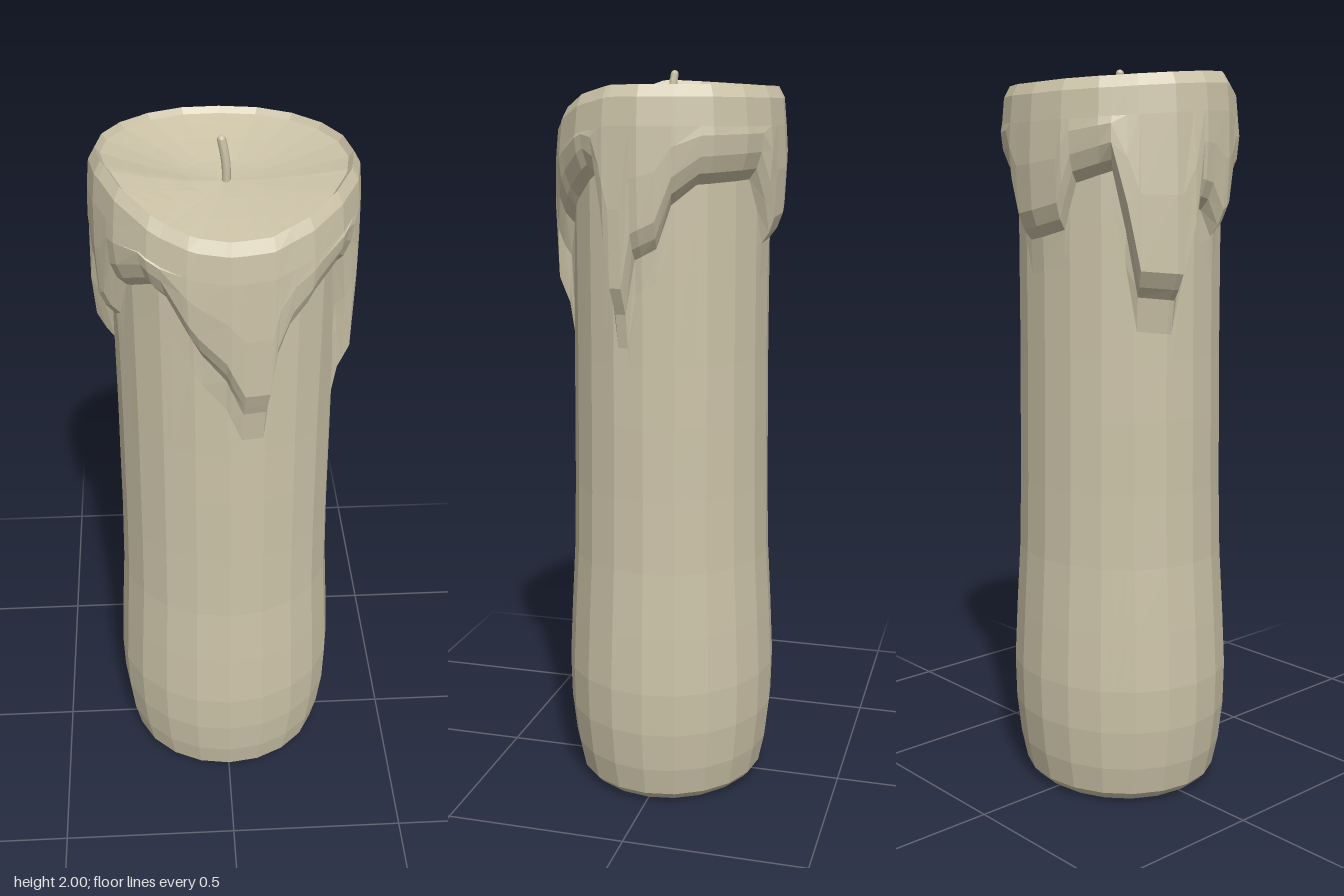
import * as THREE from 'three';

const wax = new THREE.MeshStandardMaterial({ color: 0xccc3a8, flatShading: true });
const wickMaterial = new THREE.MeshStandardMaterial({ color: 0xccc3a8 });

// Lower hem of the melted wax: [angle from the front in degrees, height]
const HEM = [
  [-180, 1.58], [-165, 1.6], [-158, 1.72], [-138, 1.75], [-131, 1.6], [-125, 1.43], [-105, 1.42],
  [-98, 1.55], [-92, 1.66], [-84, 1.65], [-75, 1.58], [-68, 1.6], [-60, 1.7], [-40, 1.74],
  [-30, 1.71], [-20, 1.62], [-14, 1.57], [-2, 1.5], [6, 1.4], [17, 1.4], [20, 1.53], [27, 1.62],
  [40, 1.69], [58, 1.75], [65, 1.73], [70, 1.6], [75, 1.4], [81, 1.4], [86, 1.54], [98, 1.57],
  [106, 1.68], [120, 1.73], [155, 1.74], [162, 1.66], [168, 1.57], [180, 1.58],
];
// Height of the rim around the melted pool
const RIM = [
  [-180, 1.955], [-135, 1.965], [-90, 1.98], [-70, 1.985], [-50, 1.95], [-30, 1.9], [-10, 1.87],
  [15, 1.87], [35, 1.9], [55, 1.935], [75, 1.955], [180, 1.955],
];
// Candle body below the wax: [radius, height]
const BODY = [
  [0, 0.004], [0.25, 0], [0.268, 0.012], [0.285, 0.03], [0.303, 0.11], [0.316, 0.22], [0.319, 0.34],
  [0.311, 0.5], [0.3, 0.68], [0.295, 0.88], [0.293, 1.08], [0.291, 1.24],
];
const SIDES = 20;

function lookup(table, a) {
  const i = Math.max(1, table.findIndex((p) => p[0] >= a));
  const [a0, v0] = table[i - 1], [a1, v1] = table[i];
  return v0 + ((v1 - v0) * (a - a0)) / (a1 - a0);
}

// Point on a slightly oval 20-sided outline
function outline(a, r, y) {
  const step = 360 / SIDES;
  const off = THREE.MathUtils.euclideanModulo(a, step) - step / 2;
  const half = THREE.MathUtils.degToRad(step / 2);
  const t = THREE.MathUtils.degToRad(a);
  const d = (r * Math.cos(half)) / Math.cos(THREE.MathUtils.degToRad(off));
  const zScale = y > 1.85 ? 0.92 : 0.925;
  return [d * Math.sin(t), y, d * Math.cos(t) * zScale];
}

// One vertical section from the base, over the wax, to the pool centre
function section(a) {
  const hem = lookup(HEM, a), rim = lookup(RIM, a);
  const drip = THREE.MathUtils.clamp((1.62 - hem) / 0.2, 0, 1);
  const side = a < -95 && a > -140 ? 0.018 : 0;
  const r = 0.29, thick = 0.043 + side;
  const pool = (f) => [0.3 * f, 1.885 + (rim - 0.015 - 1.885) * Math.pow(f, 1.4)];
  return [
    ...BODY,
    [r, hem - 0.11],
    [r + 0.014 * drip, hem - 0.02],
    [r + 0.026 + side * 0.6, hem + 0.008],
    [r + thick, hem + 0.05],
    [r + 0.049 + side * 0.5, hem + (rim - hem) * 0.45],
    [0.336, rim - 0.1],
    [0.329, rim - 0.03],
    [0.312, rim],
    pool(1), pool(0.85), pool(0.65), pool(0.32), pool(0),
  ];
}

// Skin a grid of points: rows run upwards, columns to the right
function skin(columns) {
  const rows = columns[0].length, index = [];
  for (let c = 0; c < columns.length - 1; c++) {
    for (let r = 0; r < rows - 1; r++) {
      const p = c * rows + r, q = p + rows;
      if (r > 0) index.push(p, q, q + 1);
      else index.push(p, q + 1, p + 1);
      if (r > 0 && r < rows - 2) index.push(p, q + 1, p + 1);
    }
  }
  const g = new THREE.BufferGeometry();
  g.setAttribute('position', new THREE.Float32BufferAttribute(columns.flat(2), 3));
  g.setIndex(index);
  return g;
}

export function createModel() {
  const group = new THREE.Group();
  group.name = 'candle';

  // Columns at every facet corner and at every bend of the hem
  const angles = HEM.map((p) => p[0]);
  for (let i = 1; i < SIDES; i++) {
    const a = -180 + (i * 360) / SIDES;
    if (!angles.includes(a)) angles.push(a);
  }
  angles.sort((a, b) => a - b);

  // Candle with drips, rim and pool
  const geometry = skin(angles.map((a) => section(a).map(([r, y]) => outline(a, r, y)))).toNonIndexed();
  geometry.computeVertexNormals();
  const candle = new THREE.Mesh(geometry, wax);
  candle.name = 'waxBody';
  group.add(candle);

  // Bent wick with a rounded tip
  const path = new THREE.CatmullRomCurve3([
    new THREE.Vector3(0.003, 1.87, 0), new THREE.Vector3(0.003, 1.92, 0),
    new THREE.Vector3(-0.002, 1.96, -0.002), new THREE.Vector3(-0.008, 1.99, -0.005),
  ]);
  const wick = new THREE.Mesh(new THREE.TubeGeometry(path, 8, 0.011, 8), wickMaterial);
  wick.name = 'wick';
  const tip = new THREE.Mesh(new THREE.SphereGeometry(0.011, 8, 6), wickMaterial);
  tip.position.set(-0.008, 1.989, -0.005);
  tip.name = 'wickTip';
  group.add(wick, tip);
  return group;
}
